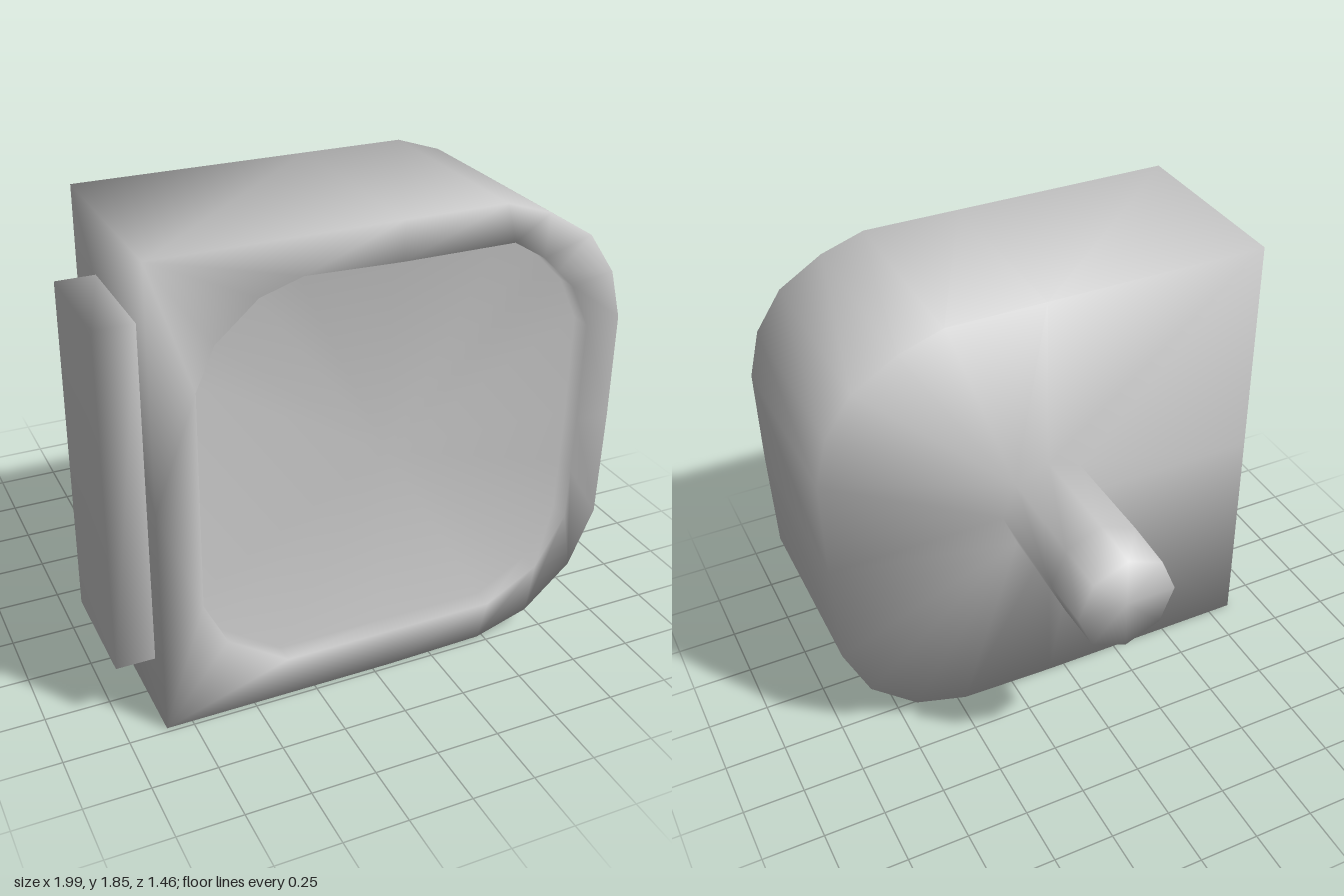
import * as THREE from 'three';
import { mergeVertices } from 'three/addons/utils/BufferGeometryUtils.js';

// Skin a stack of equal-length loops; shared corners give soft normals
function skin(loops) {
  const n = loops[0].length;
  const index = [];
  for (let k = 0; k < loops.length - 1; k++) {
    for (let i = 0; i < n; i++) {
      const j = (i + 1) % n;
      const a = k * n + i, b = k * n + j, c = b + n, d = a + n;
      index.push(a, b, c, a, c, d);
    }
  }
  let g = new THREE.BufferGeometry();
  g.setAttribute('position', new THREE.Float32BufferAttribute(loops.flat(2), 3));
  g.setIndex(index);
  g = mergeVertices(g, 1e-4);
  g.computeVertexNormals();
  return g;
}

export function createModel() {
  const group = new THREE.Group();
  const material = new THREE.MeshStandardMaterial({ color: 0xcccccc });
  const add = (name, geometry) => {
    const mesh = new THREE.Mesh(geometry, material);
    mesh.name = name;
    group.add(mesh);
    return mesh;
  };

  // Outer outline: square on one side, rounded on the other
  const outer = [
    [-0.85, 0], [0.07, 0], [0.47, 0.01], [0.69, 0.08], [0.88, 0.25], [0.98, 0.48],
    [0.99, 0.92], [0.99, 1.33], [0.94, 1.52], [0.83, 1.68], [0.65, 1.79], [0.47, 1.85],
    [0.07, 1.85], [-0.85, 1.85], [-0.85, 1.85], [-0.85, 1.85], [-0.85, 0.925],
    [-0.85, 0], [-0.85, 0],
  ];
  // Recess outline, matched point for point
  const inner = [
    [-0.36, 0.16], [0.07, 0.16], [0.51, 0.16], [0.72, 0.28], [0.84, 0.49], [0.845, 0.7],
    [0.85, 0.92], [0.85, 1.32], [0.77, 1.49], [0.7, 1.56], [0.64, 1.62], [0.51, 1.7],
    [0.07, 1.7], [-0.3, 1.71], [-0.46, 1.66], [-0.62, 1.52], [-0.69, 1.36],
    [-0.69, 0.5], [-0.6, 0.32],
  ];
  const cx = 0.07, cy = 0.925;
  const at = (pts, z) => pts.map(([x, y]) => [x, y, z]);
  // Eight-sided rod section, with each point snapped to the nearest corner
  const rod = (r, z) => outer.map(([x, y]) => {
    const t = Math.round(Math.atan2(y - cy, x - cx) / (Math.PI / 4)) * (Math.PI / 4);
    return [cx + r * Math.cos(t), cy + r * 1.03 * Math.sin(t), z];
  });
  const depth = 0.08;

  // Housing with the back rod growing out of its rear face
  add('housingWithRod', skin([
    rod(0, -0.73),
    rod(0.2, -0.73),
    rod(0.205, -0.52),
    rod(0.2, -0.08),
    at(outer, -0.08),
    at(outer, 0.73),
    at(inner, 0.73),
    at(inner, 0.73 - depth),
    rod(0, 0.73 - depth),
  ]));

  // Side tab
  let box = new THREE.BoxGeometry(0.15, 1.35, 0.45);
  box.deleteAttribute('normal');
  box.deleteAttribute('uv');
  box = mergeVertices(box);
  box.computeVertexNormals();
  add('sideTab', box).position.set(-0.925, 0.925, 0.405);

  return group;
}
